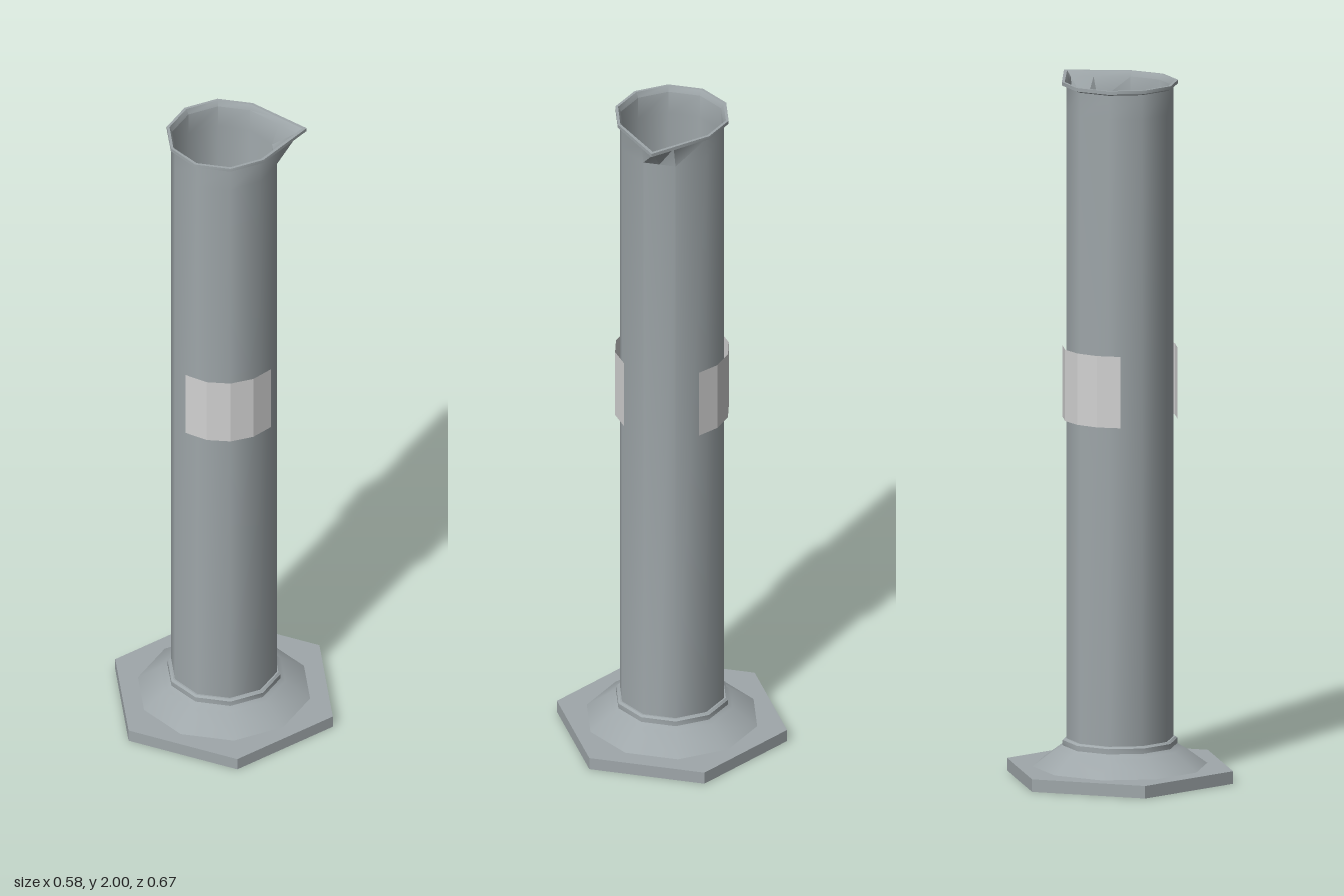
import * as THREE from 'three';
import { toCreasedNormals } from 'three/addons/utils/BufferGeometryUtils.js';

const glass = new THREE.MeshStandardMaterial({ color: 0x9fa7aa });
glass.name = 'grey glass';
const pale = new THREE.MeshStandardMaterial({ color: 0xd2d2d2 });
pale.name = 'pale grey';
pale.side = THREE.DoubleSide;
pale.flatShading = true;

const CREASE = 0.7;
const DEG = Math.PI / 180;

// Ten-sided cross-section with one extra point on the +x side that can be drawn out to a spout tip.
function section(y, r, tip) {
  const angles = [0, 36, 72, 90, 108, 144, 180, 216, 252, 288, 324];
  return angles.map((a) => {
    let x = r * Math.sin(a * DEG);
    let z = r * Math.cos(a * DEG);
    if (a === 90) { x = r * Math.cos(18 * DEG); z = 0; }
    if (tip && a >= 72 && a <= 108) {
      const x0 = r * Math.sin(36 * DEG), z0 = r * Math.cos(36 * DEG);
      x = x0 + (tip - x0) * (1 - Math.abs(z) / z0);
    }
    return [x, y, z];
  });
}

// Skin neighbouring cross-sections with quads.
function loft(rings) {
  const n = rings[0].length;
  const index = [];
  for (let i = 0; i < rings.length - 1; i++) {
    for (let j = 0; j < n; j++) {
      const k = (j + 1) % n;
      const a = i * n + j, b = i * n + k, c = b + n, d = a + n;
      index.push(a, b, c, a, c, d);
    }
  }
  const g = new THREE.BufferGeometry();
  g.setAttribute('position', new THREE.Float32BufferAttribute(rings.flat(2), 3));
  g.setIndex(index);
  return toCreasedNormals(g, CREASE);
}

export function createModel() {
  const group = new THREE.Group();
  const add = (name, geometry, material) => {
    const mesh = new THREE.Mesh(geometry, material);
    mesh.name = name;
    group.add(mesh);
    return mesh;
  };

  // Hexagonal foot plate
  const foot = new THREE.CylinderGeometry(0.335, 0.335, 0.036, 6);
  foot.translate(0, 0.018, 0);
  add('footPlate', toCreasedNormals(foot, CREASE), glass);

  // Sloping shoulder and collar between foot and tube
  const profile = [
    [0.248, 0.036], [0.185, 0.082], [0.176, 0.086], [0.163, 0.095],
    [0.163, 0.11], [0.157, 0.115], [0.15, 0.115],
  ].map(([x, y]) => new THREE.Vector2(x, y));
  add('collar', toCreasedNormals(new THREE.LatheGeometry(profile, 10), CREASE), glass);

  // Tube: outer wall, flared rim with pouring spout, inner wall
  const rings = [
    [0.09, 0.152], [1.915, 0.152], [1.985, 0.152, 0.213], [1.99, 0.165, 0.235],
    [2.0, 0.165, 0.235], [2.0, 0.157, 0.222], [1.985, 0.149, 0.207],
    [1.915, 0.149], [0.1, 0.149],
  ].map((p) => section(...p));
  add('tubeAndSpout', loft(rings), glass);

  // Inner floor
  const floor = new THREE.CircleGeometry(0.151, 10, Math.PI / 2);
  floor.rotateX(-Math.PI / 2);
  floor.translate(0, 0.116, 0);
  add('innerFloor', floor, pale);

  // Curved labels on front and back
  for (const [name, mid] of [['frontLabel', 0], ['backLabel', Math.PI]]) {
    const half = 48 * DEG;
    const label = new THREE.CylinderGeometry(0.163, 0.163, 0.205, 4, 1, true, mid - half, 2 * half);
    label.translate(0, 1.135, 0);
    add(name, label, pale);
  }

  return group;
}
